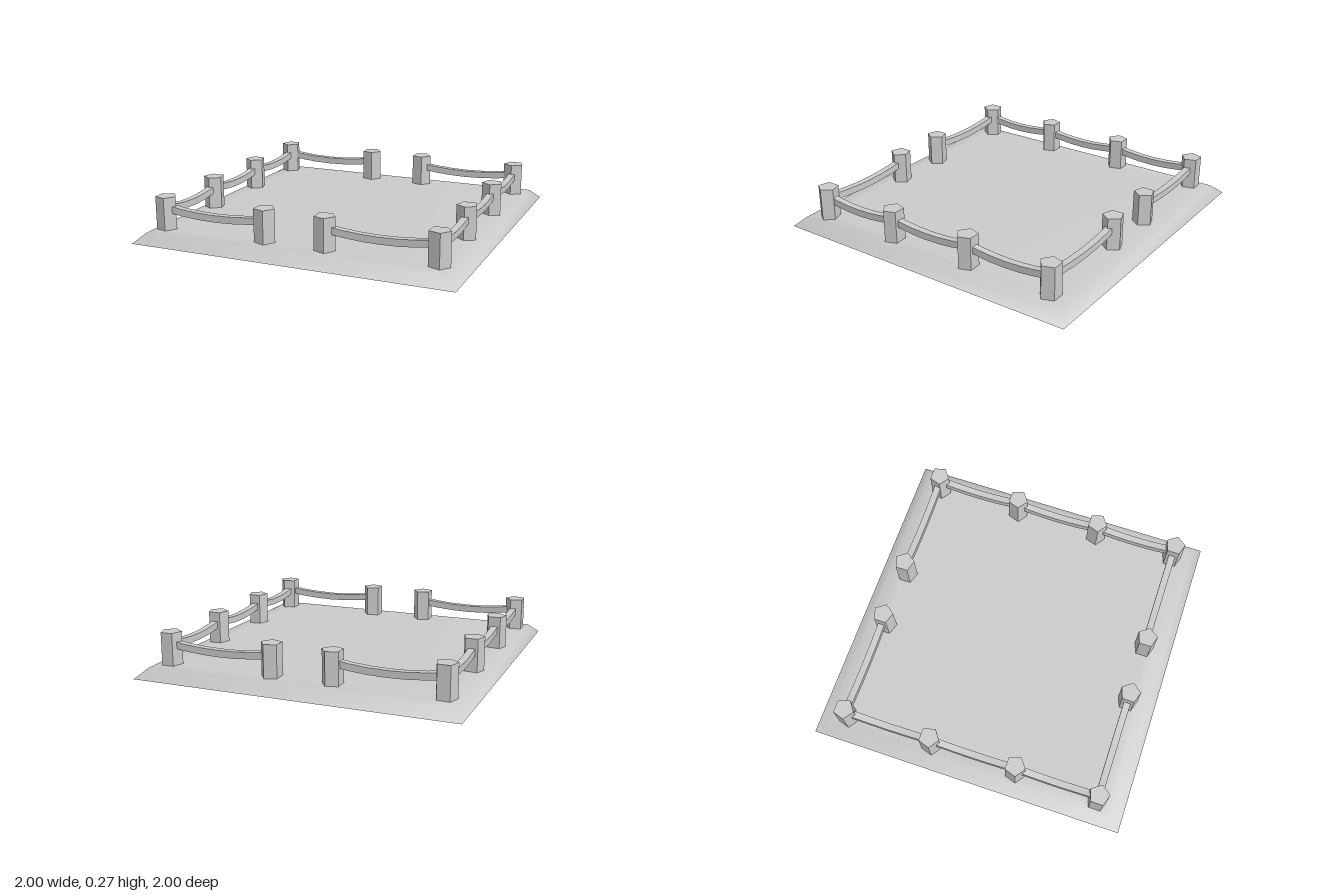
import * as THREE from 'three';

const flat = new THREE.MeshStandardMaterial({ color: 0xcccccc, flatShading: true });
const smooth = new THREE.MeshStandardMaterial({ color: 0xcccccc, side: THREE.DoubleSide });

// Open-bottomed ground slab: square rings with shared, softly shaded corners
function makeGround() {
  const rings = [[1, 0], [0.935, 0.06], [0.84, 0.065]]; // half width, height
  const pos = [], index = [];
  for (const [r, y] of rings) pos.push(r, y, r, r, y, -r, -r, y, -r, -r, y, r);
  for (let k = 0; k < rings.length - 1; k++) {
    for (let i = 0; i < 4; i++) {
      const a = k * 4 + i, b = k * 4 + (i + 1) % 4;
      index.push(a, b, b + 4, a, b + 4, a + 4);
    }
  }
  const t = (rings.length - 1) * 4;
  index.push(t, t + 1, t + 2, t, t + 2, t + 3);
  const geo = new THREE.BufferGeometry();
  geo.setAttribute('position', new THREE.Float32BufferAttribute(pos, 3));
  geo.setIndex(index);
  geo.computeVertexNormals();
  const mesh = new THREE.Mesh(geo, smooth);
  mesh.name = 'ground';
  return mesh;
}

// Five-sided post; its point faces +z, or +x when turned
const POST_BOTTOM = 0.035, POST_TOP = 0.265;
function makePost(x, z, turned) {
  const h = POST_TOP - POST_BOTTOM;
  const mesh = new THREE.Mesh(new THREE.CylinderGeometry(0.065, 0.065, h, 5), flat);
  mesh.position.set(x, POST_BOTTOM + h / 2, z);
  mesh.rotation.y = turned ? Math.PI / 2 : 0;
  mesh.name = 'post';
  return mesh;
}

// Square rail sagging between two post centres
function makeRail([x1, z1], [x2, z2]) {
  const dx = x2 - x1, dz = z2 - z1, len = Math.hypot(dx, dz);
  const geo = new THREE.BoxGeometry(len, 0.042, 0.042, 6, 1, 1);
  const p = geo.attributes.position;
  for (let i = 0; i < p.count; i++) {
    const u = p.getX(i) / (len / 2);
    p.setY(i, p.getY(i) + 0.027 * u * u);
  }
  const mesh = new THREE.Mesh(geo, flat);
  mesh.position.set((x1 + x2) / 2, 0.165, (z1 + z2) / 2);
  mesh.rotation.y = Math.atan2(-dz, dx);
  mesh.name = 'rail';
  return mesh;
}

export function createModel() {
  const model = new THREE.Group();
  model.name = 'fencedPlot';
  model.add(makeGround());

  // Each half runs: back gate post, back corner, two side posts, front corner, front gate post
  const halves = [
    ['leftFence', 0.18, 0.845],
    ['rightFence', -0.2, -0.858],
  ];
  for (const [name, gateX, sideX] of halves) {
    const fence = new THREE.Group();
    fence.name = name;
    const points = [
      [gateX, -0.815], [sideX, -0.815], [sideX, -0.26],
      [sideX, 0.29], [sideX, 0.818], [gateX, 0.818],
    ];
    points.forEach(([x, z], i) => {
      const turned = i === 0 || i >= 4;
      fence.add(makePost(x + (i === 4 ? Math.sign(x) * 0.006 : 0), z, turned));
      if (i > 0) fence.add(makeRail(points[i - 1], points[i]));
    });
    model.add(fence);
  }
  return model;
}
